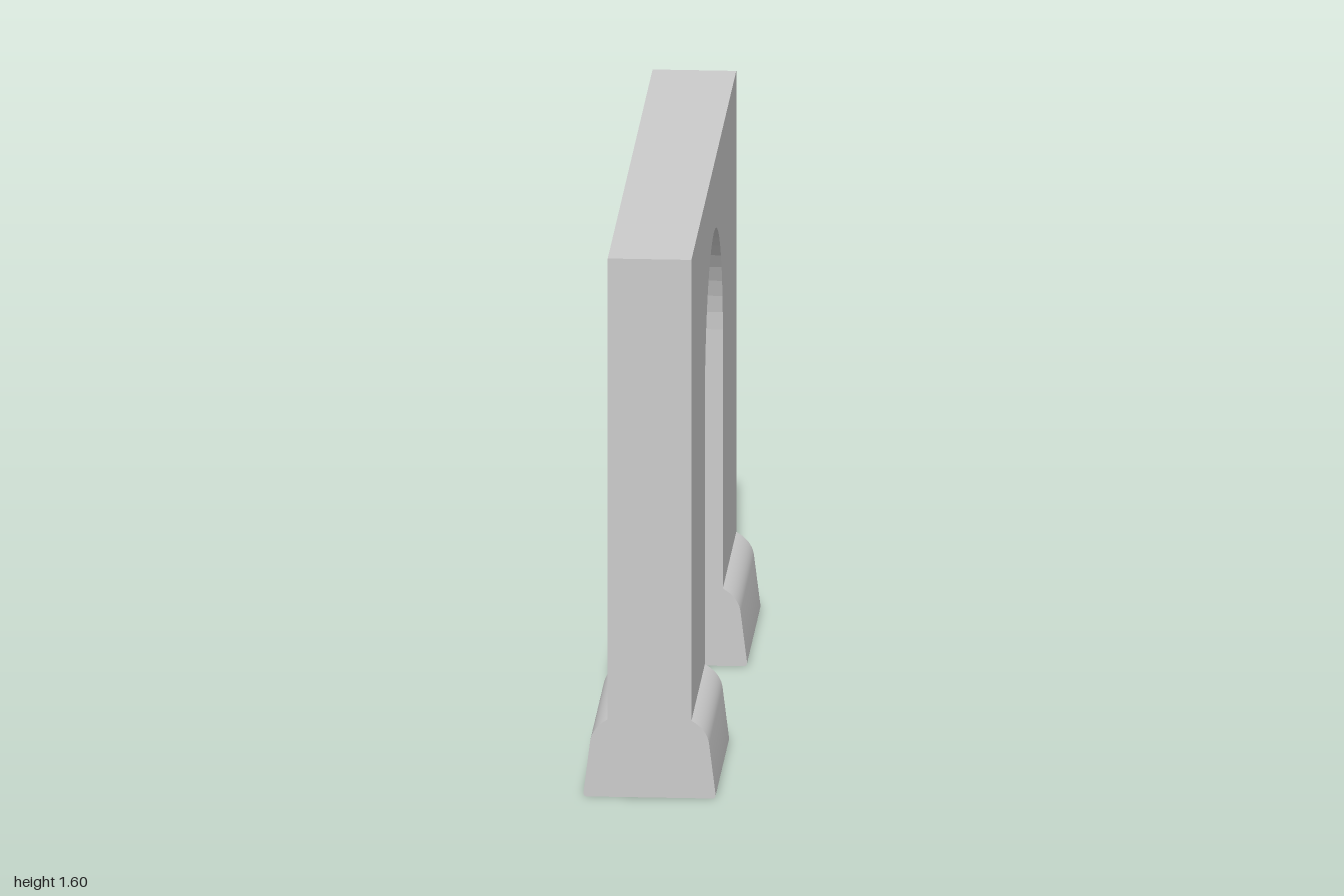
import * as THREE from 'three';
import { toCreasedNormals } from 'three/addons/utils/BufferGeometryUtils.js';

const HALF_THICK = 0.12, BASE_TOP = 0.23, HALF_LENGTH = 1, HEIGHT = 1.6;
const ARCH_RADIUS = 0.4, ARCH_SPRING = 1;

// Wall outline with the round-headed opening, extruded through its thickness
function wallGeometry() {
  const s = new THREE.Shape();
  s.moveTo(-HALF_LENGTH, BASE_TOP);
  s.lineTo(-ARCH_RADIUS, BASE_TOP);
  s.lineTo(-ARCH_RADIUS, ARCH_SPRING);
  s.absarc(0, ARCH_SPRING, ARCH_RADIUS, Math.PI, 0, true);
  s.lineTo(ARCH_RADIUS, BASE_TOP);
  s.lineTo(HALF_LENGTH, BASE_TOP);
  s.lineTo(HALF_LENGTH, HEIGHT);
  s.lineTo(-HALF_LENGTH, HEIGHT);
  s.closePath();
  const g = new THREE.ExtrudeGeometry(s, { depth: HALF_THICK * 2, bevelEnabled: false, curveSegments: 12 });
  return g.translate(0, 0, -HALF_THICK).rotateY(-Math.PI / 2);
}

// Flared footing profile with rounded shoulders, extruded along the wall
function footingGeometry() {
  const length = HALF_LENGTH - ARCH_RADIUS;
  const s = new THREE.Shape();
  s.moveTo(-0.182, 0);
  s.lineTo(0.182, 0);
  s.quadraticCurveTo(0.191, 0.002, 0.189, 0.015);
  s.lineTo(0.171, 0.16);
  s.bezierCurveTo(0.168, 0.19, 0.15, 0.213, HALF_THICK, BASE_TOP);
  s.lineTo(-HALF_THICK, BASE_TOP);
  s.bezierCurveTo(-0.15, 0.213, -0.168, 0.19, -0.171, 0.16);
  s.lineTo(-0.189, 0.015);
  s.quadraticCurveTo(-0.191, 0.002, -0.182, 0);
  const g = new THREE.ExtrudeGeometry(s, { depth: length, bevelEnabled: false, curveSegments: 10 });
  return toCreasedNormals(g.translate(0, 0, -length / 2), 0.45);
}

export function createModel() {
  const model = new THREE.Group();
  model.name = 'archedWall';
  const material = new THREE.MeshStandardMaterial({ color: 0xcccccc });

  const wall = new THREE.Mesh(wallGeometry(), material);
  wall.name = 'wall';
  model.add(wall);

  // One footing under each leg
  const footing = footingGeometry();
  for (const [name, side] of [['frontFooting', 1], ['backFooting', -1]]) {
    const mesh = new THREE.Mesh(footing, material);
    mesh.name = name;
    mesh.position.z = side * (HALF_LENGTH + ARCH_RADIUS) / 2;
    model.add(mesh);
  }
  return model;
}
